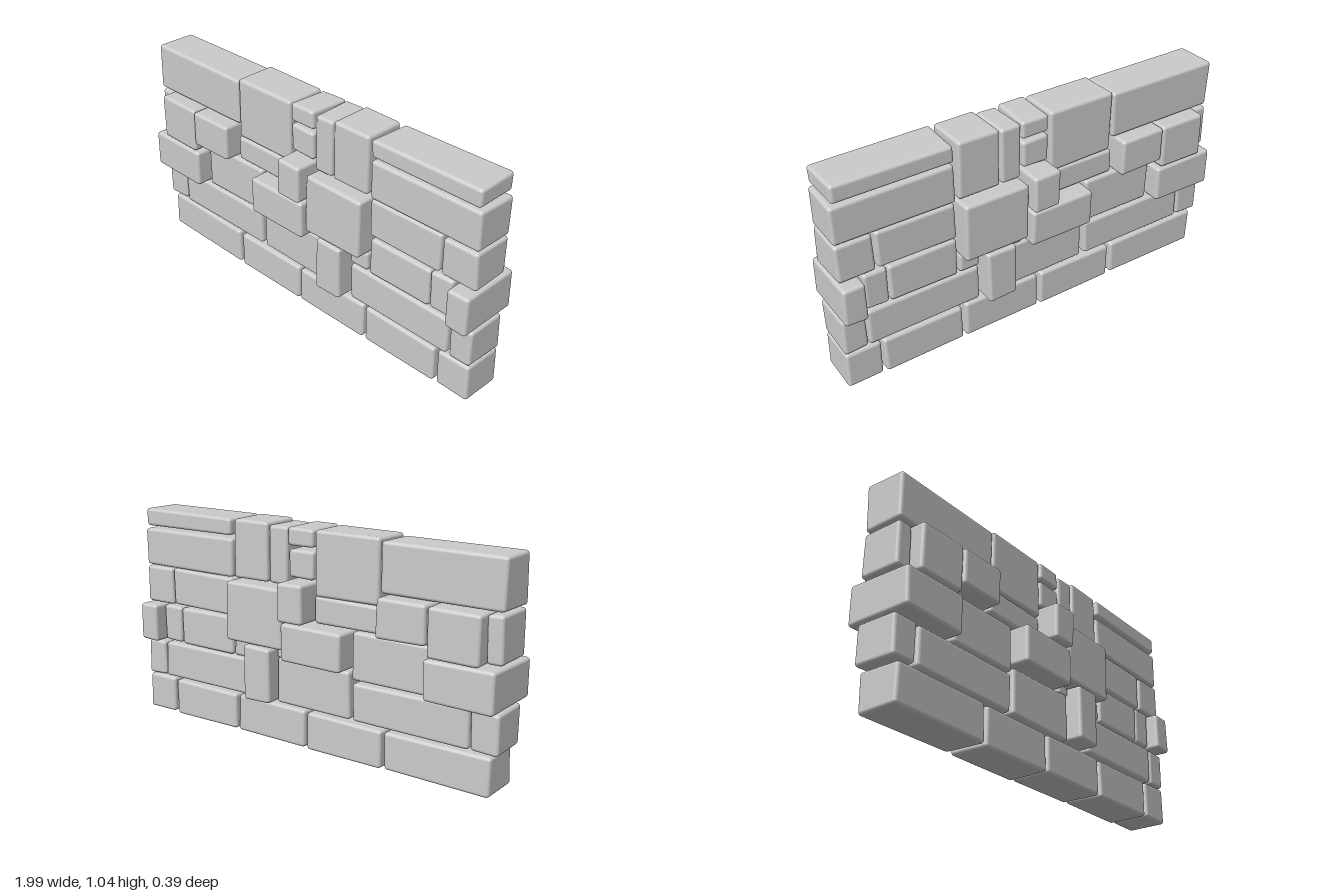
import * as THREE from 'three';
import { RoundedBoxGeometry } from 'three/addons/geometries/RoundedBoxGeometry.js';

const THIN = 0.103; // half depth of an ordinary stone

// Each stone: [left, right, bottom, top, half depth (optional)]
const COURSES = {
  bottomCourse: [
    [-0.965, -0.442, 0.005, 0.19],
    [-0.432, -0.02, 0, 0.19],
    [-0.012, 0.397, 0.005, 0.19],
    [0.403, 0.812, 0.003, 0.19],
    [0.82, 0.997, 0.008, 0.192],
  ],
  secondCourse: [
    [-0.997, -0.862, 0.195, 0.382],
    [-0.862, -0.272, 0.195, 0.382],
    [-0.262, 0.152, 0.197, 0.425],
    [0.15, 0.305, 0.2, 0.472, 0.167],
    [0.312, 0.875, 0.197, 0.382],
    [0.877, 0.997, 0.193, 0.377],
  ],
  thirdCourse: [
    [-1, -0.662, 0.383, 0.572, 0.165],
    [-0.657, -0.27, 0.383, 0.612],
    [-0.262, 0.077, 0.428, 0.615, 0.178],
    [0.077, 0.155, 0.415, 0.47],
    [0.305, 0.414, 0.383, 0.478],
    [0.418, 0.757, 0.383, 0.572],
    [0.757, 0.877, 0.383, 0.572],
    [0.88, 0.995, 0.38, 0.57, 0.152],
  ],
  fourthCourse: [
    [-1, -0.918, 0.576, 0.792],
    [-0.925, -0.675, 0.573, 0.797, 0.165],
    [-0.677, -0.43, 0.618, 0.8, 0.17],
    [-0.424, -0.064, 0.615, 0.742],
    [-0.063, 0.08, 0.613, 0.803, 0.197],
    [0.08, 0.412, 0.47, 0.762, 0.16],
    [0.418, 0.804, 0.576, 0.762],
    [0.807, 0.988, 0.572, 0.76],
  ],
  topCourse: [
    [-1, -0.414, 0.798, 1.028],
    [-0.412, -0.066, 0.738, 1.038],
    [-0.065, 0.082, 0.805, 0.942],
    [-0.065, 0.082, 0.948, 1.04],
    [0.083, 0.192, 0.765, 1.037],
    [0.193, 0.403, 0.763, 1.05, 0.106],
    [0.412, 0.986, 0.76, 0.948],
  ],
};

function seeded(seed) {
  let s = seed * 7919 + 17;
  return () => (s = (s * 16807) % 2147483647) / 2147483647;
}

function makeStone([x0, x1, y0, y1, hz = THIN], seed, material) {
  const w = x1 - x0, h = y1 - y0, d = hz * 2;
  const geo = new RoundedBoxGeometry(w, h, d, 3, Math.min(0.016, h * 0.25));
  const rand = seeded(seed);
  for (let i = 0; i < 5; i++) rand();
  // pull the eight corners in by small uneven amounts
  const corners = Array.from({ length: 8 }, () => [rand() * 0.008, rand() * 0.007, rand() * 0.006]);
  const p = geo.attributes.position;
  for (let i = 0; i < p.count; i++) {
    const v = [p.getX(i), p.getY(i), p.getZ(i)];
    const t = [v[0] / w + 0.5, v[1] / h + 0.5, v[2] / d + 0.5];
    const out = v.map((value, axis) => {
      let inset = 0;
      corners.forEach((c, k) => {
        const weight = [0, 1, 2].reduce((m, a) => m * ((k >> a) & 1 ? t[a] : 1 - t[a]), 1);
        inset += weight * c[axis] * ((k >> axis) & 1 ? -1 : 1);
      });
      return value + inset;
    });
    p.setXYZ(i, ...out);
  }
  const mesh = new THREE.Mesh(geo, material);
  mesh.name = 'stone';
  mesh.position.set((x0 + x1) / 2, (y0 + y1) / 2, 0);
  return mesh;
}

export function createModel() {
  const wall = new THREE.Group();
  wall.name = 'stoneWall';
  const material = new THREE.MeshStandardMaterial({ color: 0xcccccc });

  let seed = 1;
  for (const [name, stones] of Object.entries(COURSES)) {
    const course = new THREE.Group();
    course.name = name;
    for (const stone of stones) course.add(makeStone(stone, seed++, material));
    wall.add(course);
  }

  // flat capping slab at the top right, leaning very slightly
  const cap = makeStone([0.414, 0.976, 0.957, 1.046, 0.107], seed, material);
  cap.name = 'cappingSlab';
  cap.rotation.z = 0.004;
  wall.add(cap);
  return wall;
}
